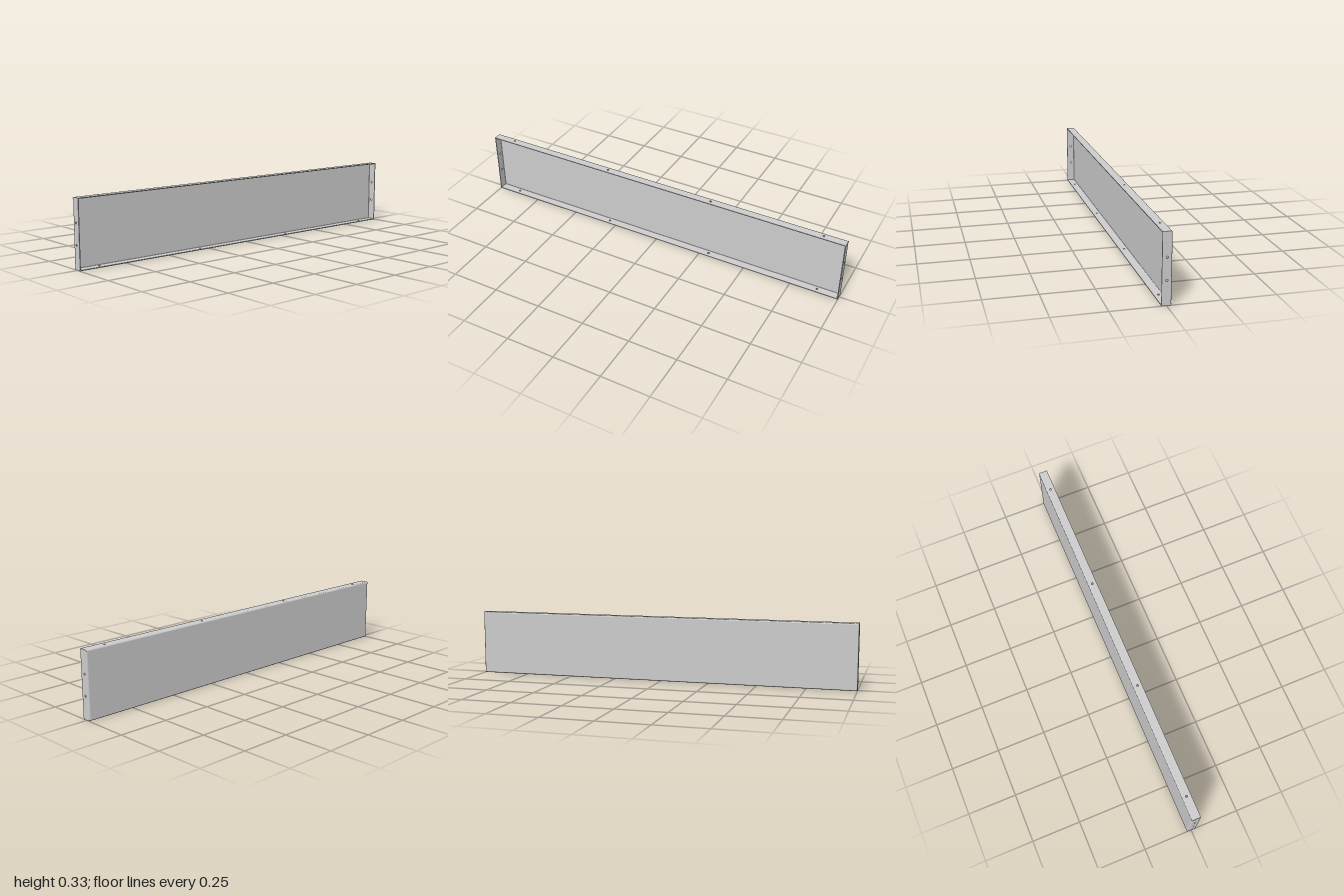
import * as THREE from 'three';

const W = 2, H = 0.332, D = 0.045; // overall size of the folded tray
const T = 0.004, R = 0.007; // sheet thickness, outer bend radius
const HOLE = 0.005;

const material = new THREE.MeshStandardMaterial({ color: 0xcccccc });

function addMesh(parent, name, geometry) {
  const mesh = new THREE.Mesh(geometry, material);
  mesh.name = name;
  parent.add(mesh);
  return mesh;
}

// One folded edge: a drilled flange plus its bend, lying along x with the inside facing +y
function createEdge(name, length, holes) {
  const edge = new THREE.Group();
  edge.name = name;

  // Flat flange, drawn in x and z
  const half = length / 2;
  const shape = new THREE.Shape([
    new THREE.Vector2(-half, -D / 2 + R),
    new THREE.Vector2(half, -D / 2 + R),
    new THREE.Vector2(half, D / 2),
    new THREE.Vector2(-half, D / 2),
  ]);
  for (const x of holes) {
    shape.holes.push(new THREE.Path().absarc(x, 0, HOLE, 0, Math.PI * 2, true));
  }
  const flange = new THREE.ExtrudeGeometry(shape, { depth: T, bevelEnabled: false, curveSegments: 16 });
  flange.rotateX(Math.PI / 2).translate(0, T, 0);
  addMesh(edge, 'flange', flange);

  // Quarter-round bend joining the flange to the back panel
  const ring = new THREE.Shape();
  ring.absarc(D / 2 - R, R, R, -Math.PI / 2, 0, false);
  ring.absarc(D / 2 - R, R, R - T, 0, -Math.PI / 2, true);
  const bend = new THREE.ExtrudeGeometry(ring, { depth: length, bevelEnabled: false, curveSegments: 6 });
  bend.rotateY(Math.PI / 2).translate(-half, 0, 0);
  addMesh(edge, 'bend', bend);
  return edge;
}

export function createModel() {
  const model = new THREE.Group();
  model.name = 'shallowTray';

  // Back panel
  const panel = new THREE.BoxGeometry(W - 2 * R, H - 2 * R, T);
  addMesh(model, 'backPanel', panel).position.set(0, H / 2, -D / 2 + T / 2);

  // Long edges with four holes, short edges with two
  const longHoles = [-0.885, -0.295, 0.295, 0.885];
  const sideHoles = [-0.0515, 0.0515];
  const edges = [
    ['bottomEdge', W, longHoles, 0, 0, 0],
    ['topEdge', W, longHoles, 0, H, Math.PI],
    ['leftEdge', H - 2 * T, sideHoles, W / 2, H / 2, Math.PI / 2],
    ['rightEdge', H - 2 * T, sideHoles, -W / 2, H / 2, -Math.PI / 2],
  ];
  for (const [name, length, holes, x, y, angle] of edges) {
    const edge = createEdge(name, length, holes);
    edge.position.set(x, y, 0);
    edge.rotation.z = angle;
    model.add(edge);
  }
  return model;
}
